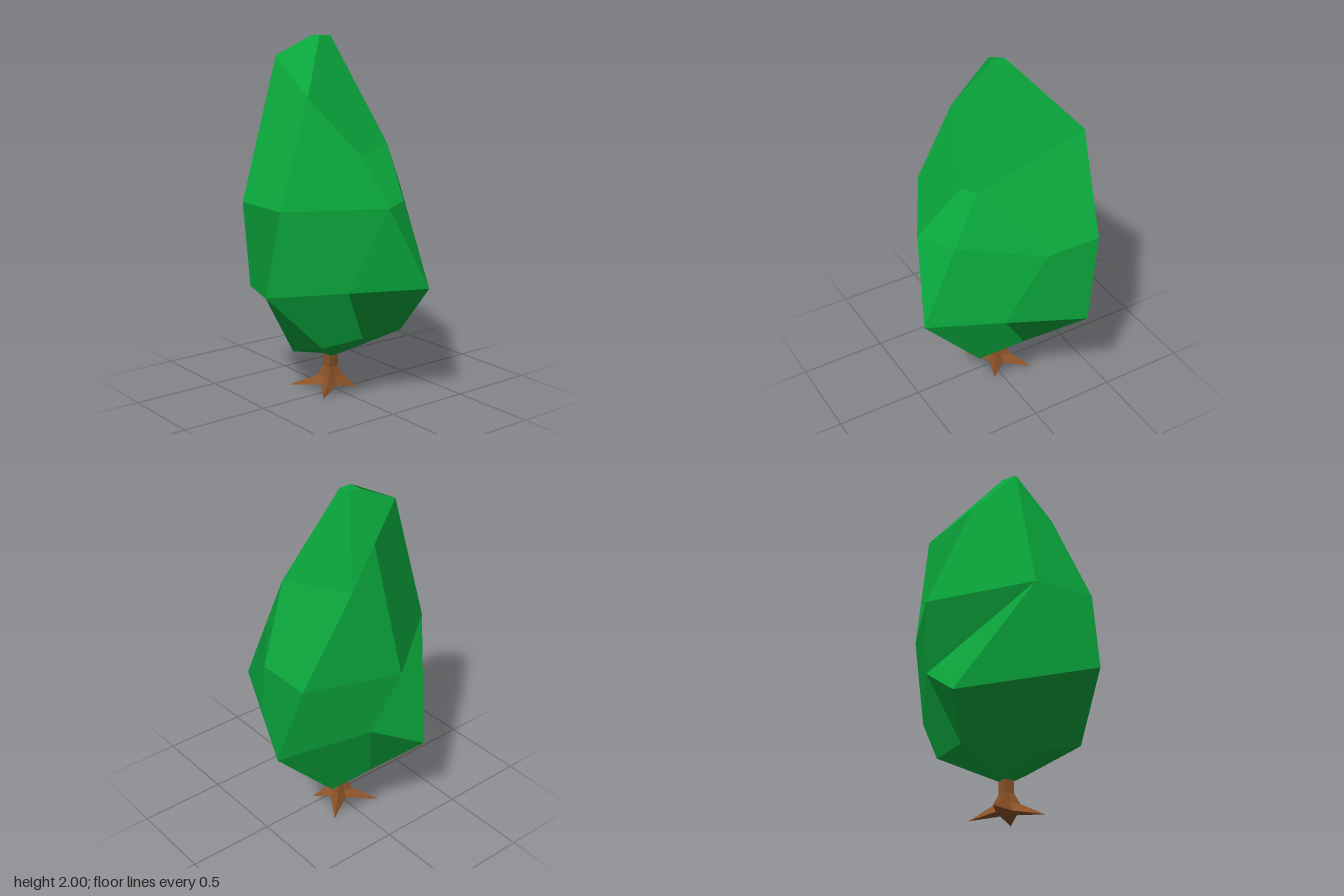
import * as THREE from 'three';

const leafGreen = new THREE.MeshStandardMaterial({ color: 0x0aa63c });
leafGreen.name = 'leafGreen';
const barkBrown = new THREE.MeshStandardMaterial({ color: 0x8c5329 });
barkBrown.name = 'barkBrown';

// Faceted skin through rings of points, listed bottom to top and running front -> +x -> back -> -x.
// Each band is a list of facets; in a facet, L advances along the lower ring and U along the upper.
function skin(rings, bands, bottomCentre) {
  const pos = [], norm = [];
  const t = new THREE.Triangle();
  const addFacet = (tris) => {
    // One flat normal for the whole facet
    const n = new THREE.Vector3(), e = new THREE.Vector3();
    for (const [a, b, c] of tris) {
      t.a.fromArray(a); t.b.fromArray(b); t.c.fromArray(c);
      n.addScaledVector(t.getNormal(e), t.getArea());
      pos.push(...a, ...b, ...c);
    }
    n.normalize();
    for (let i = 0; i < tris.length * 3; i++) norm.push(n.x, n.y, n.z);
  };
  bands.forEach((facets, k) => {
    const lower = rings[k], upper = rings[k + 1];
    let i = 0, j = 0;
    for (const facet of facets.split(' ')) {
      addFacet([...facet].map((step) => {
        const a = lower[i % lower.length], b = upper[j % upper.length];
        return step === 'L' ? [a, lower[++i % lower.length], b] : [a, upper[++j % upper.length], b];
      }));
    }
  });
  // Caps
  const top = rings[rings.length - 1], base = rings[0];
  for (let i = 1; i < top.length - 1; i++) addFacet([[top[0], top[i], top[i + 1]]]);
  base.forEach((p, i) => addFacet([[bottomCentre, base[(i + 1) % base.length], p]]));

  const geo = new THREE.BufferGeometry();
  geo.setAttribute('position', new THREE.Float32BufferAttribute(pos, 3));
  geo.setAttribute('normal', new THREE.Float32BufferAttribute(norm, 3));
  return geo;
}

// Points [x, z] all at one height
const level = (y, pts) => pts.map(([x, z]) => [x, y, z]);

function makeCrown() {
  const rings = [
    level(0.2, [[-0.075, 0.03], [-0.015, 0.03], [-0.015, -0.03], [-0.075, -0.03]]),
    // Underside
    [[-0.32, 0.36, 0], [0.01, 0.29, 0.305],
      ...level(0.36, [[0.24, 0.28], [0.24, 0], [0.24, -0.275], [-0.05, -0.275], [-0.32, -0.275]])],
    // Widest ring
    [[-0.5, 0.54, 0.24],
      ...level(0.675, [[0.165, 0.59], [0.355, 0.19], [0.545, -0.21], [0.145, -0.4], [-0.255, -0.595]]),
      [-0.47, 0.77, -0.13]],
    // Middle
    level(1.125, [[-0.165, 0.505], [0.185, 0.505], [0.46, 0], [0.341, -0.201],
      [-0.04, -0.505], [-0.365, -0.505], [-0.55, 0]]),
    // Shoulder
    [[-0.155, 1.9, 0.285], [0.095, 1.69, 0.26], [0.2, 1.36, -0.025],
      [0.2, 1.43, -0.195], [-0.43, 1.64, -0.235], [-0.2925, 1.77, 0.025]],
    // Tip
    level(2, [[-0.12, 0.075], [-0.045, 0.075], [-0.045, 0], [-0.12, 0]]),
  ];
  const bands = [
    'U UL UUL UUL UL',
    'UL L UL UL UL UL UL U',
    'UL UL L U UL UL UL U L',
    'UL UL UL L UL UL UL',
    'UL ULL UL ULL',
  ];
  return skin(rings, bands, [-0.045, 0.2, 0]);
}

function makeTrunk() {
  const cx = -0.047;
  // Eight-sided ring whose corners (roots) and sides (valleys) have separate radii
  const ring = (y, corner, side) => Array.from({ length: 8 }, (_, i) => {
    const a = (i - 1) * Math.PI / 4, r = i % 2 ? side : corner;
    return [cx + r * Math.sin(a), y, r * Math.cos(a)];
  });
  // Root tips: front -x, front +x, back +x, back -x
  const tips = [[-0.22, 0.165], [0.09, 0.16], [0.05, -0.12], [-0.19, -0.15]];
  const foot = ring(0.025, 0, 0.062).map((p, i) => (i % 2 ? p : [tips[i / 2][0], 0, tips[i / 2][1]]));
  const rings = [foot, ring(0.07, 0.076, 0.044), ring(0.13, 0.042, 0.031), ring(0.21, 0.042, 0.03)];
  const band = Array(8).fill('LU').join(' ');
  return skin(rings, [band, band, band], [cx, 0.03, 0]);
}

export function createModel() {
  const tree = new THREE.Group();
  tree.name = 'tree';
  const add = (name, geometry, material) => {
    const mesh = new THREE.Mesh(geometry, material);
    mesh.name = name;
    tree.add(mesh);
  };
  add('crown', makeCrown(), leafGreen);
  add('trunkWithRoots', makeTrunk(), barkBrown);
  return tree;
}
